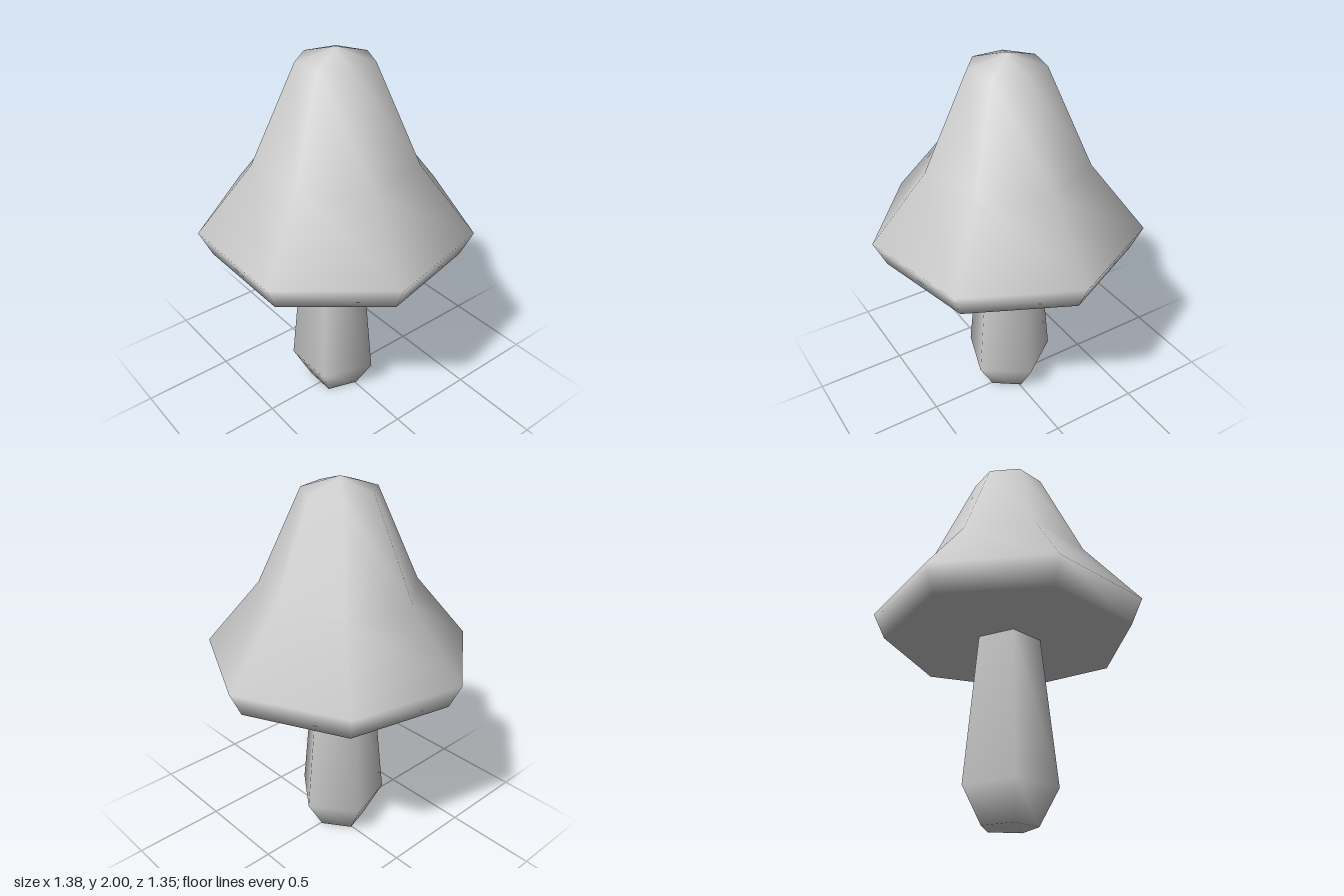
import * as THREE from 'three';

// Smooth-shaded solid of few sides, with one corner pointing to the back.
// The profile is listed from the bottom up as [radius, height].
function turned(name, profile, sides, material) {
  const points = profile.map(([r, y]) => new THREE.Vector2(r, y));
  const mesh = new THREE.Mesh(new THREE.LatheGeometry(points, sides, Math.PI), material);
  mesh.name = name;
  return mesh;
}

export function createModel() {
  const group = new THREE.Group();
  group.name = 'mushroom';

  const grey = new THREE.MeshStandardMaterial({ color: 0xcccccc });
  grey.name = 'plain grey';

  // Seven-sided bell cap with a flat underside and a low peak
  const cap = turned('cap', [
    [0, 0.955], [0.647, 0.955], [0.71, 1.09], [0.421, 1.44], [0.192, 1.94], [0, 2],
  ], 7, grey);
  cap.position.set(0, 0, 0.035);

  // Five-sided stem, bulging near the foot and running into the cap
  const stem = turned('stem', [
    [0, 0], [0.144, 0], [0.245, 0.18], [0.168, 0.955], [0.163, 1.0], [0, 1.0],
  ], 5, grey);
  stem.position.set(-0.008, 0, 0.038);

  group.add(cap, stem);
  return group;
}
